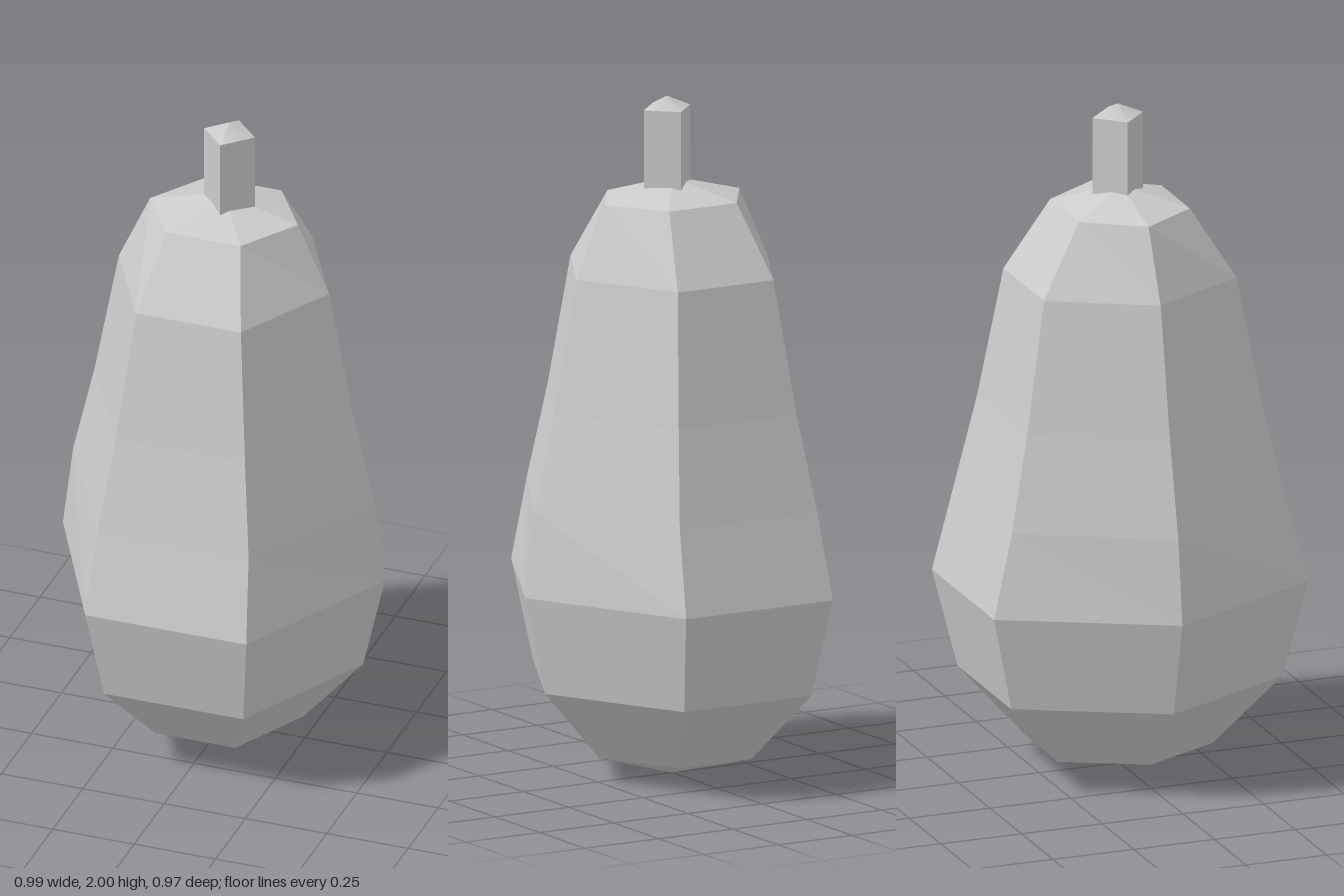
import * as THREE from 'three';

const flat = () => new THREE.MeshStandardMaterial({ color: 0xcccccc, flatShading: true });

// Rings of the gourd body, bottom to top: [height, half width in x, half depth in z]
const rings = [
  [0, 0, 0],
  [0.07, 0.245, 0.24],
  [0.28, 0.428, 0.42],
  [0.57, 0.495, 0.486],
  [0.82, 0.464, 0.425],
  [1.1, 0.398, 0.365],
  [1.49, 0.323, 0.298],
  [1.7, 0.227, 0.172],
  [1.76, 0, 0],
];

// Six-sided lathe with corners on the x axis; each ring's depth is then set by its own value
function bodyGeometry() {
  const profile = rings.map(([y, r]) => new THREE.Vector2(r, y));
  const geo = new THREE.LatheGeometry(profile, 6, Math.PI / 2);
  const pos = geo.attributes.position;
  for (let i = 0; i < pos.count; i++) {
    const [, r, depth] = rings[i % rings.length];
    if (r > 0) pos.setZ(i, pos.getZ(i) / (r * Math.sin(Math.PI / 3)) * depth);
  }
  const out = geo.toNonIndexed();
  out.computeVertexNormals();
  return out;
}

export function createModel() {
  const model = new THREE.Group();

  const body = new THREE.Mesh(bodyGeometry(), flat());
  body.name = 'body';
  model.add(body);

  // Square stem standing cornerwise, slightly off centre
  const stem = new THREE.Group();
  stem.name = 'stem';
  stem.position.x = 0.017;

  const shaft = new THREE.Mesh(new THREE.CylinderGeometry(0.078, 0.078, 0.27, 4, 1, true), flat());
  shaft.name = 'stemShaft';
  shaft.position.y = 1.83;

  // Low, softly shaded pyramid on the stem
  const tip = new THREE.Mesh(
    new THREE.ConeGeometry(0.078, 0.035, 4, 1, true),
    new THREE.MeshStandardMaterial({ color: 0xcccccc })
  );
  tip.name = 'stemTip';
  tip.position.y = 1.9825;

  stem.add(shaft, tip);
  model.add(stem);
  return model;
}
